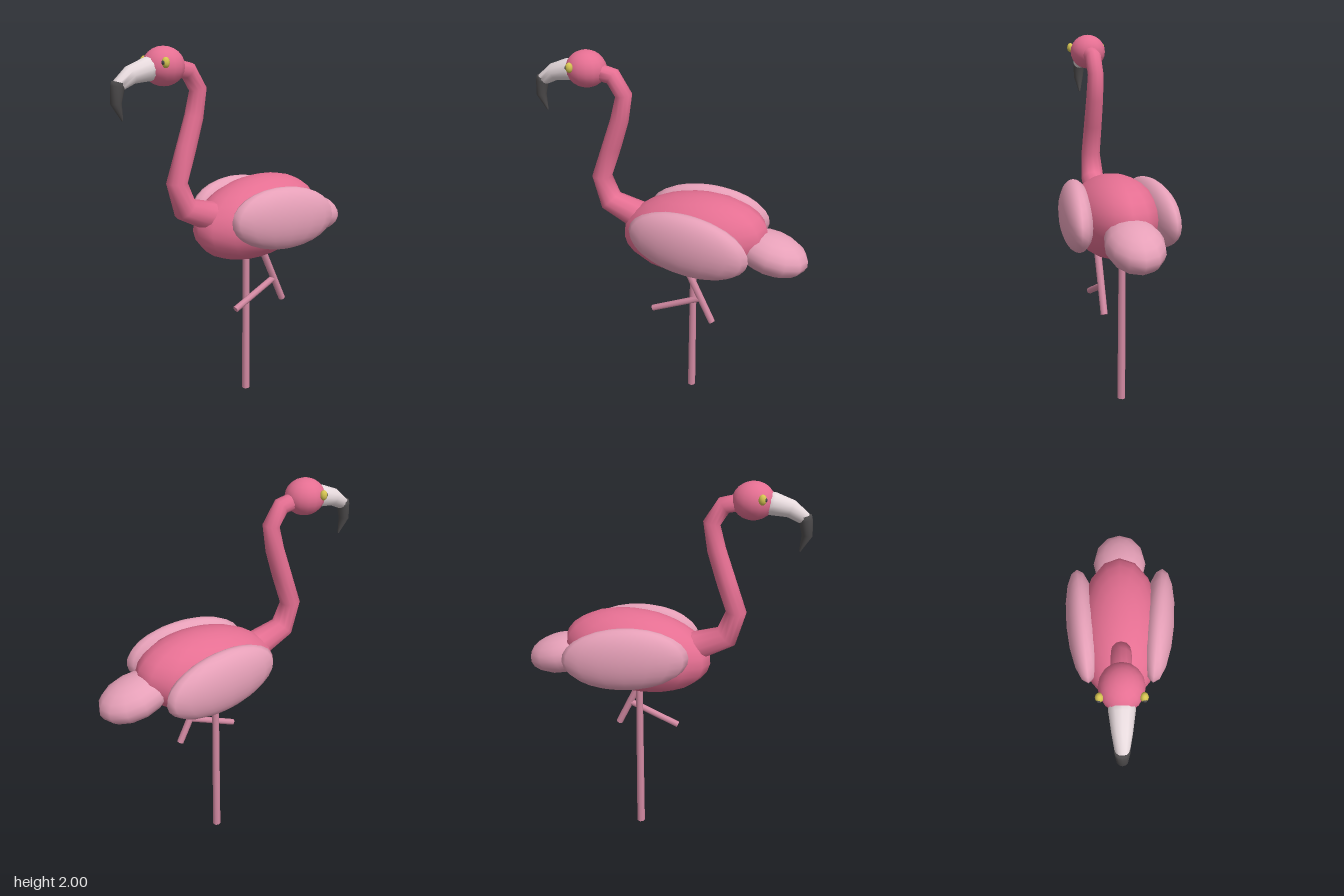
import * as THREE from 'three';

const material = (name, color, side = THREE.FrontSide) => {
  const m = new THREE.MeshStandardMaterial({ color, side });
  m.name = name;
  return m;
};

// Round tapered tube through [y, z, radius] stations in the x = 0 plane
function taperedTube(stations, sides = 12) {
  const pos = [], index = [], n = stations.length;
  const up = new THREE.Vector3(1, 0, 0);
  const pts = stations.map(([y, z]) => new THREE.Vector3(0, y, z));
  pts.forEach((p, i) => {
    const before = p.clone().sub(pts[Math.max(i - 1, 0)]).normalize();
    const after = pts[Math.min(i + 1, n - 1)].clone().sub(p).normalize();
    const dir = before.add(after).normalize();
    const across = new THREE.Vector3().crossVectors(dir, up);
    for (let s = 0; s < sides; s++) {
      const a = (s / sides) * Math.PI * 2, r = stations[i][2];
      const v = p.clone().addScaledVector(up, Math.cos(a) * r).addScaledVector(across, Math.sin(a) * r);
      pos.push(v.x, v.y, v.z);
    }
  });
  for (let i = 0; i < n - 1; i++) {
    for (let s = 0; s < sides; s++) {
      const a = i * sides + s, b = i * sides + ((s + 1) % sides);
      index.push(a, a + sides, b, b, a + sides, b + sides);
    }
  }
  // end caps
  for (let s = 1; s < sides - 1; s++) {
    const e = (n - 1) * sides;
    index.push(0, s, s + 1, e, e + s + 1, e + s);
  }
  const g = new THREE.BufferGeometry();
  g.setAttribute('position', new THREE.Float32BufferAttribute(pos, 3));
  g.setIndex(index);
  g.computeVertexNormals();
  return g;
}

export function createModel() {
  const model = new THREE.Group();
  const pink = material('deep pink', 0xe56f92, THREE.DoubleSide);
  const palePink = material('pale pink', 0xe6a0b8);
  const legPink = material('leg pink', 0xd48aa3);
  const cream = material('beak cream', 0xeadde0, THREE.DoubleSide);
  const dark = material('charcoal', 0x4c4a4b, THREE.DoubleSide);
  const yellow = material('eye yellow', 0xd6c552);

  const add = (name, geometry, mat, parent = model) => {
    const mesh = new THREE.Mesh(geometry, mat);
    mesh.name = name;
    parent.add(mesh);
    return mesh;
  };

  const ellipsoid = (name, mat, centre, radii, rotation = [0, 0, 0], w = 16, h = 12) => {
    const mesh = add(name, new THREE.SphereGeometry(1, w, h), mat);
    mesh.position.set(...centre);
    mesh.scale.set(...radii);
    mesh.rotation.set(...rotation);
    return mesh;
  };

  const rod = (name, from, to, rTop, rBottom) => {
    const a = new THREE.Vector3(...from), b = new THREE.Vector3(...to);
    const mesh = add(name, new THREE.CylinderGeometry(rTop, rBottom, a.distanceTo(b), 8), legPink);
    mesh.position.copy(a).add(b).multiplyScalar(0.5);
    mesh.quaternion.setFromUnitVectors(new THREE.Vector3(0, 1, 0), a.sub(b).normalize());
    return mesh;
  };

  // Body, tail and wings
  ellipsoid('body', pink, [0, 1.07, -0.135], [0.225, 0.225, 0.407], [0.12, 0, 0], 16, 14);
  ellipsoid('tail', palePink, [0, 1.022, -0.56], [0.148, 0.11, 0.2], [-0.25, 0, 0], 12, 10);
  for (const side of [1, -1]) {
    ellipsoid(side > 0 ? 'leftWing' : 'rightWing', palePink,
      [0.205 * side, 1.092, -0.157], [0.088, 0.171, 0.337], [-0.07, -0.1 * side, 0], 16, 14);
  }

  // Curved neck, thick at the chest
  add('neck', taperedTube([
    [1.08, 0.1, 0.085], [1.125, 0.2, 0.078], [1.185, 0.35, 0.066], [1.325, 0.397, 0.055],
    [1.5, 0.335, 0.052], [1.65, 0.285, 0.049], [1.785, 0.257, 0.045],
    [1.877, 0.315, 0.045], [1.9, 0.42, 0.045],
  ]), pink);

  // Head and hooked beak
  ellipsoid('head', pink, [0, 1.905, 0.46], [0.1, 0.095, 0.107]);
  add('beak', taperedTube([
    [1.9, 0.5, 0.06], [1.893, 0.56, 0.057], [1.872, 0.645, 0.045], [1.825, 0.718, 0.031],
  ]), cream);
  add('beakTip', taperedTube([
    [1.84, 0.712, 0.034], [1.82, 0.718, 0.034], [1.745, 0.73, 0.027], [1.663, 0.7, 0.004],
  ]), dark);

  // Eyes with small pupils
  for (const side of [1, -1]) {
    const label = side > 0 ? 'left' : 'right';
    ellipsoid(label + 'Eye', yellow, [0.092 * side, 1.927, 0.51], [0.019, 0.026, 0.02], [0, 0, 0], 10, 8);
    ellipsoid(label + 'Pupil', dark, [0.094 * side, 1.927, 0.525], [0.01, 0.011, 0.009], [0, 0, 0], 8, 6);
  }

  // Standing leg and folded leg
  rod('standingLeg', [-0.057, 0.92, -0.113], [-0.057, 0, -0.113], 0.019, 0.023);
  rod('foldedThigh', [0.08, 0.93, -0.095], [0.08, 0.572, -0.268], 0.02, 0.019);
  rod('foldedShin', [0.08, 0.71, -0.2], [0.08, 0.588, 0.08], 0.018, 0.018);

  return model;
}
